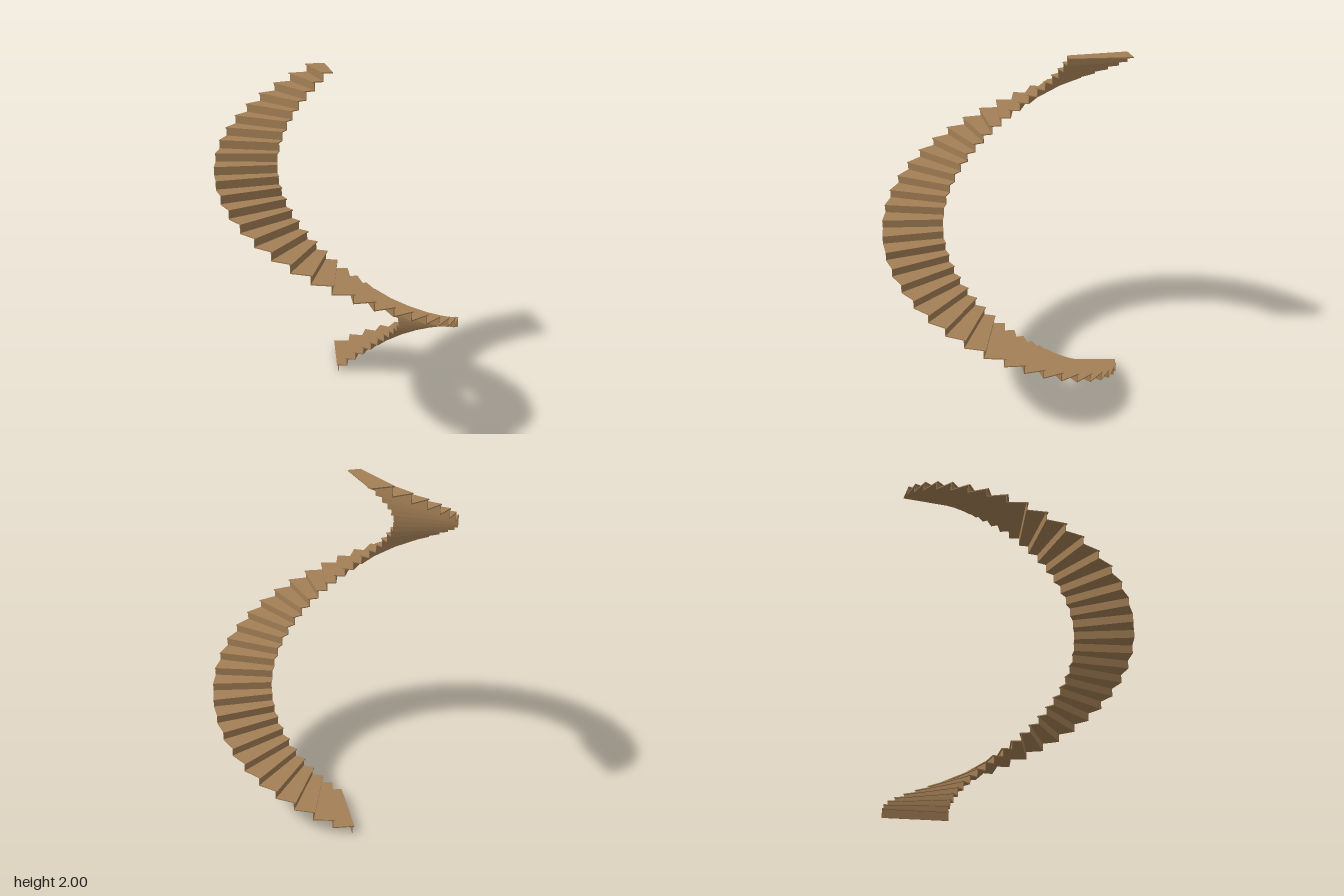
import * as THREE from 'three';

const STEPS = 40, RISE = 0.05, TREAD_T = 0.006, RISER_T = 0.004, NOSING = 0.009;
const INNER = 0.358, OUTER = 0.713;
const START = THREE.MathUtils.degToRad(52.7), TURN = THREE.MathUtils.degToRad(8.86);

// Plan point at a radius and angle, pushed up the flight by an offset
function planPoint(radius, angle, offset) {
  return new THREE.Vector2(
    radius * Math.cos(angle) + offset * Math.sin(angle),
    radius * Math.sin(angle) - offset * Math.cos(angle)
  );
}

// Flat-sided slab between two radial edges, standing on height y
function slab(a0, off0, a1, off1, y, height) {
  const shape = new THREE.Shape([
    planPoint(INNER, a0, off0), planPoint(OUTER, a0, off0),
    planPoint(OUTER, a1, off1), planPoint(INNER, a1, off1),
  ]);
  const geometry = new THREE.ExtrudeGeometry(shape, { depth: height, bevelEnabled: false });
  return geometry.rotateX(-Math.PI / 2).translate(0, y, 0);
}

export function createModel() {
  const stair = new THREE.Group();
  stair.name = 'spiralStair';
  const wood = new THREE.MeshStandardMaterial({ color: 0xa37f55 });

  for (let i = 0; i < STEPS; i++) {
    const a = START - i * TURN;
    const y = i * RISE;
    const step = new THREE.Group();
    step.name = `step${i + 1}`;

    // Thin upright board set back under the nosing
    const riser = new THREE.Mesh(
      slab(a, NOSING, a, NOSING + RISER_T, y, RISE - TREAD_T), wood);
    riser.name = 'riser';

    // Wedge board reaching back under the next riser
    const tread = new THREE.Mesh(
      slab(a, 0, a - TURN, NOSING + RISER_T, y + RISE - TREAD_T, TREAD_T), wood);
    tread.name = 'tread';

    step.add(riser, tread);
    stair.add(step);
  }
  return stair;
}
